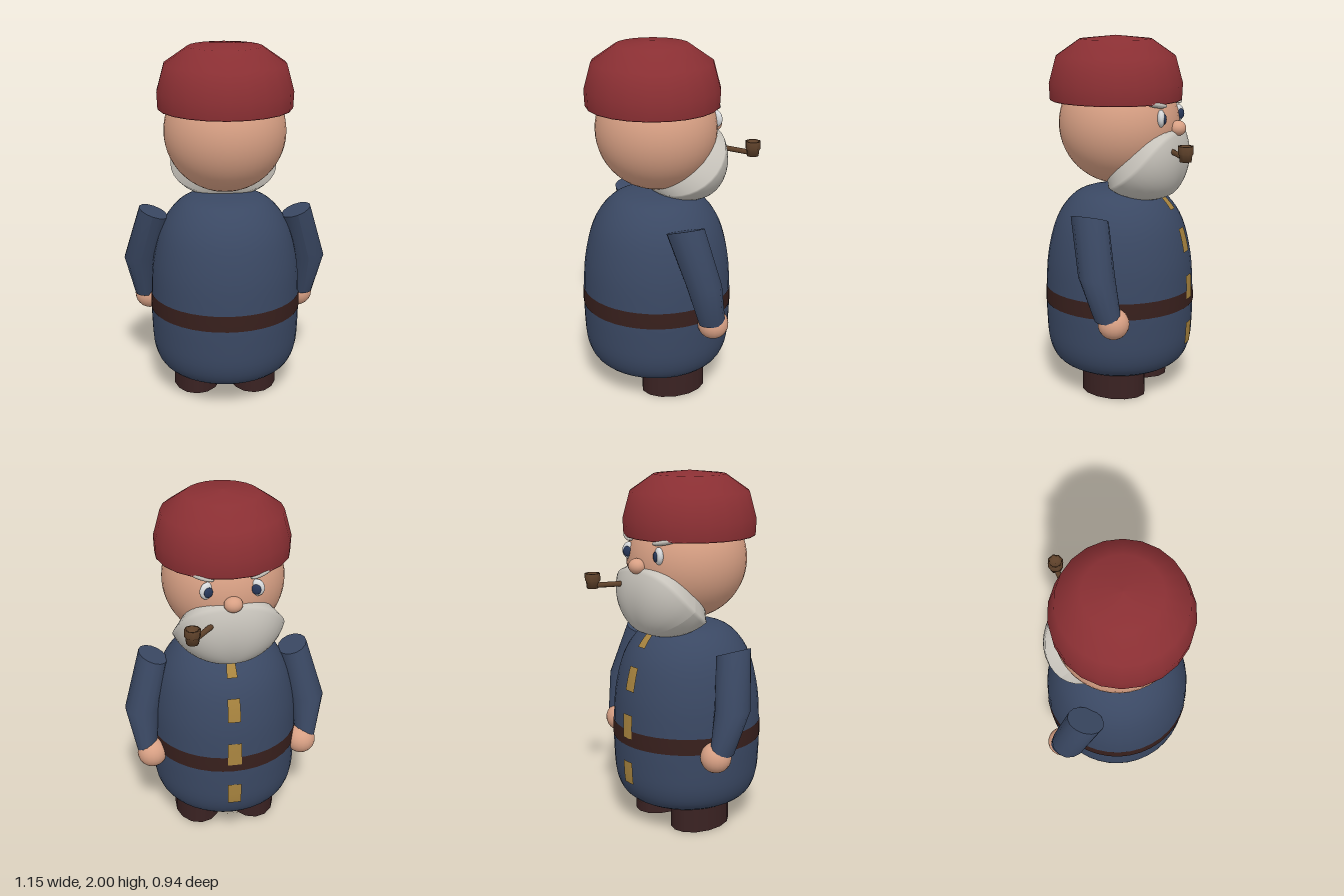
import * as THREE from 'three';

const mat = (name, color) => Object.assign(new THREE.MeshStandardMaterial({ color }), { name });

export function createModel() {
  const root = new THREE.Group();
  root.name = 'figure';
  const M = {
    red: mat('cap red', 0x8a2f33),
    skin: mat('skin', 0xd8a084),
    white: mat('beard white', 0xc6c2ba),
    coat: mat('coat blue', 0x3a4863),
    belt: mat('belt brown', 0x371f1c),
    shoe: mat('shoe brown', 0x3a2222),
    gold: mat('button gold', 0xa8843f),
    pipe: mat('pipe brown', 0x5e412a),
    eye: mat('eye white', 0xd6d8da),
    iris: mat('iris blue', 0x28385a),
  };
  const add = (name, geo, material, x = 0, y = 0, z = 0) => {
    const m = new THREE.Mesh(geo, material);
    m.name = name;
    m.position.set(x, y, z);
    root.add(m);
    return m;
  };
  const ball = (name, material, p, r) => {
    const m = add(name, new THREE.SphereGeometry(1, 20, 14), material, ...p);
    m.scale.set(...r);
    return m;
  };
  const v2 = (pts) => pts.map(([x, y]) => new THREE.Vector2(x, y));

  // Coat: a round barrel
  const coat = new THREE.SplineCurve(v2([
    [0, 0.1], [0.2, 0.11], [0.345, 0.16], [0.405, 0.26], [0.42, 0.42], [0.42, 0.58], [0.407, 0.78],
    [0.36, 0.97], [0.28, 1.095], [0.18, 1.153], [0, 1.172],
  ])).getPoints(40);
  coat.forEach((p) => { p.x = Math.max(p.x, 0); });
  add('coat', new THREE.LatheGeometry(coat, 40), M.coat, 0, 0, 0.05);

  // Strips that follow the coat surface, for the belt and the buttons
  const radiusAt = (y) => {
    const i = Math.max(1, coat.findIndex((p) => p.y >= y));
    const a = coat[i - 1], b = coat[i];
    return a.x + (b.x - a.x) * (y - a.y) / (b.y - a.y);
  };
  const strip = (name, material, y0, y1, lift, segs, start, length) => {
    const pts = [];
    for (let i = 0; i <= 6; i++) {
      const y = y0 + (y1 - y0) * i / 6;
      pts.push(new THREE.Vector2(radiusAt(y) + lift, y + (y - 0.6) * lift * 2));
    }
    add(name, new THREE.LatheGeometry(pts, segs, start, length), material, 0, 0, 0.05);
  };
  strip('belt', M.belt, 0.51, 0.6, 0.003, 40, 0, Math.PI * 2);
  [[0.12, 0.17], [0.29, 0.42], [0.555, 0.69], [0.82, 0.95], [1.05, 1.12]].forEach(([a, b]) =>
    strip('button', M.gold, a, b, 0.007, 4, Math.PI - 0.09, 0.18));

  // Head and nose
  add('head', new THREE.SphereGeometry(0.335, 40, 28), M.skin, 0, 1.52, 0.05);
  ball('nose', M.skin, [0, 1.51, -0.297], [0.05, 0.042, 0.045]);

  // Cap
  add('cap', new THREE.LatheGeometry(v2([
    [0, 1.655], [0.362, 1.65], [0.366, 1.655], [0.37, 1.745], [0.33, 1.89], [0.2, 1.98], [0, 2],
  ]), 22), M.red, 0, 0, 0.07);

  // Beard: a cap of the head sphere, swollen towards the chin and cheeks
  const beard = new THREE.SphereGeometry(1, 40, 18, 0, Math.PI * 2, 0, 1);
  const bp = beard.attributes.position;
  for (let i = 0; i < bp.count; i++) {
    const x = bp.getX(i), z = bp.getZ(i), h = Math.hypot(x, z) || 1e-6;
    const t = Math.acos(Math.min(1, bp.getY(i)));
    const side = (x / h) ** 2;
    const lobe = z > 0 ? 0.22 * side * (1 - side) : 0;
    const angle = t * 0.84 * (1 + lobe);
    const swell = (1 - side) * 0.155 * (1 - t ** 1.2) + side * (0.155 - 0.075 * t * t);
    const r = t > 0.99 ? 0.32 : 0.338 + swell;
    bp.setXYZ(i, x / h * r * Math.sin(angle), r * Math.cos(angle), z / h * r * Math.sin(angle));
  }
  beard.rotateX(Math.PI * 220 / 180);
  beard.computeVertexNormals();
  add('beard', beard, M.white, 0, 1.52, 0.05);

  // Arm: rings at shoulder, elbow and cuff: [x, y, z, radius x, radius z, tilt]
  const rings = [
    [0.465, 0.525, -0.09, 0.055, 0.075, 0],
    [0.478, 0.77, -0.03, 0.097, 0.097, 0],
    [0.4, 1.06, 0.045, 0.08, 0.105, 0.03],
  ];
  const armGeometry = (s) => {
    const g = new THREE.CylinderGeometry(1, 1, 2, 14, 2);
    const p = g.attributes.position;
    for (let i = 0; i < p.count; i++) {
      const [cx, cy, cz, rx, rz, tilt] = rings[Math.round(p.getY(i)) + 1];
      const x = p.getX(i);
      p.setXYZ(i, s * cx + x * rx, cy + s * x * tilt, cz + p.getZ(i) * rz);
    }
    g.computeVertexNormals();
    return g;
  };

  for (const s of [1, -1]) {
    const n = s > 0 ? 'left' : 'right';
    add(n + 'Arm', armGeometry(s), M.coat);
    ball(n + 'Hand', M.skin, [s * 0.437, 0.507, -0.108], [0.085, 0.085, 0.085]);

    // Shoes
    const shoe = add(n + 'Shoe', new THREE.CylinderGeometry(1, 1, 0.2, 14), M.shoe, s * 0.165, 0.1, 0.015);
    shoe.scale.set(0.135, 1, 0.187);

    // Eyes and brows
    ball(n + 'Eye', M.eye, [s * 0.13, 1.575, -0.249], [0.042, 0.047, 0.022]).rotation.y = s * 0.4;
    ball(n + 'Iris', M.iris, [s * 0.124, 1.572, -0.267], [0.026, 0.028, 0.012]).rotation.y = s * 0.4;
    const brow = ball(n + 'Brow', M.white, [s * 0.16, 1.652, -0.232], [0.075, 0.018, 0.026]);
    brow.rotation.set(0, -s * 0.5, s * 0.2);
  }

  // Pipe
  const stem = new THREE.LineCurve3(new THREE.Vector3(0.07, 1.405, -0.26), new THREE.Vector3(0.225, 1.388, -0.425));
  add('pipeStem', new THREE.TubeGeometry(stem, 1, 0.015, 8), M.pipe);
  add('pipeBowl', new THREE.LatheGeometry(v2([
    [0, 1.37], [0.033, 1.373], [0.037, 1.41], [0.043, 1.415], [0.043, 1.455], [0.032, 1.455], [0.028, 1.43], [0, 1.43],
  ]), 8), M.pipe, 0.23, 0, -0.427);

  return root;
}
